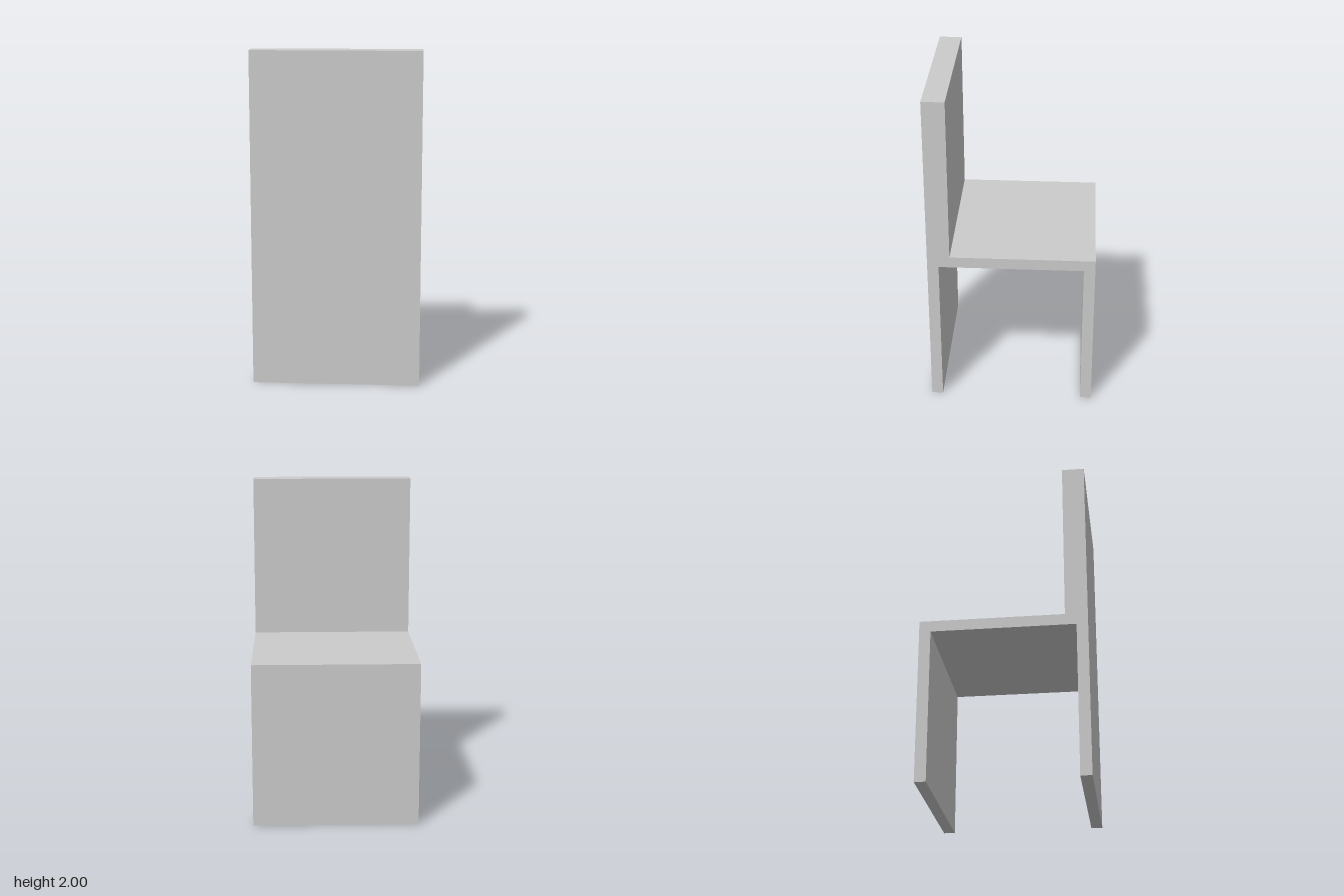
import * as THREE from 'three';

const WIDTH = 1;
const DEPTH = 1;
const SEAT_TOP = 1;
const HEIGHT = 2;
const PANEL = 0.068; // thickness of the seat and leg panels
const BACK = 0.135;  // thickness of the backrest

export function createModel() {
  const group = new THREE.Group();
  const material = new THREE.MeshStandardMaterial({ color: 0xcccccc, flatShading: true });

  // Full-width slab spanning the given heights and depths
  function slab(name, y0, y1, z0, z1) {
    const mesh = new THREE.Mesh(new THREE.BoxGeometry(WIDTH, y1 - y0, z1 - z0), material);
    mesh.name = name;
    mesh.position.set(0, (y0 + y1) / 2, (z0 + z1) / 2);
    group.add(mesh);
  }

  const half = DEPTH / 2;
  const seatBottom = SEAT_TOP - PANEL;

  // Seat, with a solid leg panel under each end
  slab('seat', seatBottom, SEAT_TOP, -half, half);
  slab('legPanelBackrestSide', 0, seatBottom, half - PANEL, half);
  slab('legPanelOpenSide', 0, seatBottom, -half, -half + PANEL);

  // Thicker backrest, flush with the outer face of its leg panel
  slab('backrest', SEAT_TOP, HEIGHT, half - BACK, half);

  return group;
}
